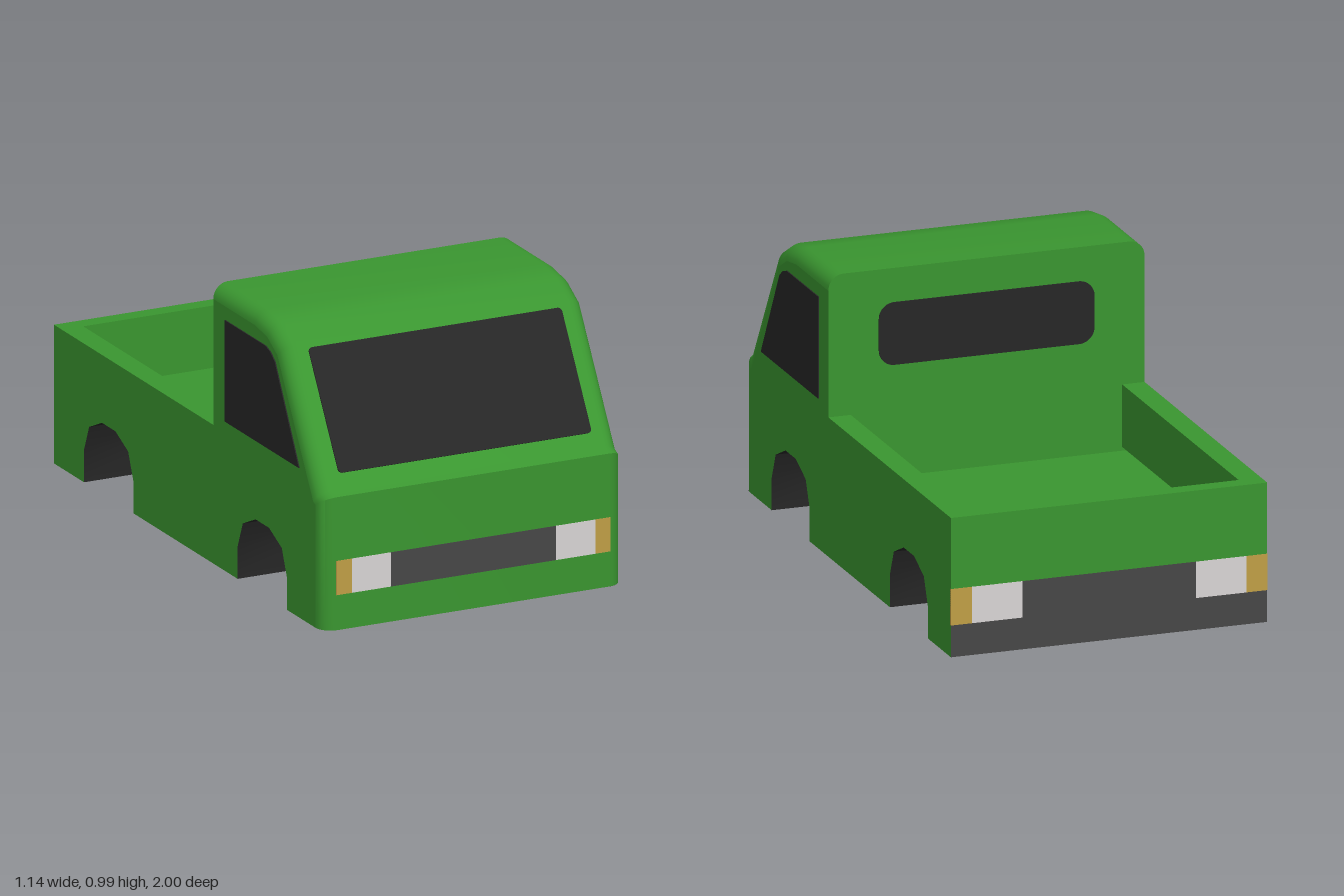
import * as THREE from 'three';
import { toCreasedNormals } from 'three/addons/utils/BufferGeometryUtils.js';

const HW = 0.565, R = 0.055, CAB_BACK = 0.185, RIM = 0.49, SEAM = 0.27, ARCH_IN = 0.315;

const mat = (name, color) => {
  const m = new THREE.MeshStandardMaterial({ color, side: THREE.DoubleSide });
  m.name = name;
  return m;
};

// Cab outline from the bottom of the nose to the back of the roof, as (z, y)
const OUTLINE = [[1, 0], [1, 0.47], [0.965, 0.485], [0.7, 0.92], [0.605, 0.973], [0.5, 0.99], [CAB_BACK, 0.99]]
  .map(([z, y]) => new THREE.Vector2(z, y));

// Outline moved inwards by d with mitred corners
function inset(d) {
  const normals = OUTLINE.slice(1).map((p, i) => {
    const e = p.clone().sub(OUTLINE[i]).normalize();
    return new THREE.Vector2(e.y, -e.x);
  });
  return OUTLINE.map((p, i) => {
    const a = normals[Math.max(i - 1, 0)], b = normals[Math.min(i, normals.length - 1)];
    return p.clone().addScaledVector(a.clone().add(b), -d / (1 + a.dot(b)));
  });
}

// Skin through rows of equally many points [x, y, z]
function loft(rows) {
  const n = rows[0].length, index = [];
  for (let i = 0; i < rows.length - 1; i++) {
    for (let j = 0; j < n - 1; j++) {
      const a = i * n + j, b = a + n;
      index.push(a, b, a + 1, b, b + 1, a + 1);
    }
  }
  const g = new THREE.BufferGeometry();
  g.setAttribute('position', new THREE.Float32BufferAttribute(rows.flat(2), 3));
  g.setIndex(index);
  return toCreasedNormals(g, 0.7);
}

// Wheel arch around z = c, from rear to front, as (z, y)
const archPoints = (c) => [[-0.183, 0], [-0.183, 0.115], [-0.145, 0.207], [-0.05, 0.25],
  [0.05, 0.25], [0.145, 0.207], [0.183, 0.115], [0.183, 0]].map(([z, y]) => [c + z, y]);
const ARCHES = [-0.593, 0.549].map(archPoints);

const polygon = (pts) => new THREE.Shape(pts.map(([x, y]) => new THREE.Vector2(x, y)));

function roundedRect(w, h, r) {
  const s = new THREE.Shape(), x = w / 2 - r, y = h / 2 - r;
  s.absarc(x, y, r, 0, Math.PI / 2);
  s.absarc(-x, y, r, Math.PI / 2, Math.PI);
  s.absarc(-x, -y, r, Math.PI, Math.PI * 1.5);
  s.absarc(x, -y, r, Math.PI * 1.5, Math.PI * 2);
  return s;
}

// Thin plate straddling its own plane
const plate = (shape) =>
  new THREE.ExtrudeGeometry(shape, { depth: 0.008, bevelEnabled: false, curveSegments: 6 }).translate(0, 0, -0.004);

export function createModel() {
  const model = new THREE.Group();
  model.name = 'pickupTruck';
  const green = mat('green paint', 0x3a9630);
  const dark = mat('dark glass and underside', 0x272727);
  const grey = mat('grey trim', 0x474747);
  const white = mat('white lamp', 0xd9d5d5);
  const amber = mat('amber lamp', 0xc09f46);

  const add = (name, geometry, material, x = 0, y = 0, z = 0) => {
    const m = new THREE.Mesh(geometry, material);
    m.name = name;
    m.position.set(x, y, z);
    model.add(m);
    return m;
  };

  // Nose, windscreen frame and roof with rounded side edges
  const rows = [], steps = 6;
  for (let i = -steps; i <= steps; i++) {
    const t = Math.abs(i) / steps * Math.PI / 2;
    const x = Math.sign(i) * (HW - R + R * Math.sin(t));
    const row = (px) => inset(R * (1 - Math.cos(t))).map((p) => [px, p.y, p.x]);
    if (i === 0) rows.push(row(R - HW), row(HW - R));
    else rows.push(row(x));
  }
  add('cabShell', loft(rows), green);

  // Cab back wall
  const back = new THREE.Shape();
  back.moveTo(-HW, 0.25);
  back.lineTo(HW, 0.25);
  back.absarc(HW - R, 0.99 - R, R, 0, Math.PI / 2);
  back.absarc(R - HW, 0.99 - R, R, Math.PI / 2, Math.PI);
  add('cabBackWall', new THREE.ShapeGeometry(back, 6).rotateY(Math.PI).translate(0, 0, CAB_BACK), green);

  // Sides, wheel arches and side windows
  const sideShape = polygon([[-1, 0], ...ARCHES.flat(), ...inset(R).map((p) => [p.x, p.y]),
    [CAB_BACK, SEAM], [-1, SEAM]]);
  const windowShape = polygon([[0.828, 0.53], [0.275, 0.53], [0.275, 0.888], [0.58, 0.888],
    [0.615, 0.877], [0.648, 0.853]]);
  for (const s of [-1, 1]) {
    const side = s < 0 ? 'right' : 'left';
    // shapes are drawn as (z, y) and turned to face sideways
    const turn = (g) => g.rotateY(-Math.PI / 2);
    const outward = (g) => (s < 0 ? turn(g) : turn(g.scale(1, 1, -1)));
    const skin = new THREE.ShapeGeometry(sideShape);
    if (s > 0) {
      const ix = skin.index.array;
      for (let k = 0; k < ix.length; k += 3) [ix[k], ix[k + 1]] = [ix[k + 1], ix[k]];
      skin.attributes.normal.array.forEach((v, k, a) => { a[k] = -v; });
    }
    add(side + 'Side', turn(skin), green, s * HW);
    add(side + 'Window', turn(plate(windowShape)), dark, s * HW);
    ARCHES.forEach((pts, k) => {
      const end = k ? 'Front' : 'Rear';
      const edge = (x) => pts.map(([z, y]) => [x, y, z]);
      const lo = Math.min(s * ARCH_IN, s * HW), hi = Math.max(s * ARCH_IN, s * HW);
      add(side + end + 'ArchLiner', loft([edge(hi), edge(lo)]), dark);
      add(side + end + 'ArchWall', turn(new THREE.ShapeGeometry(polygon(pts))), dark, s * ARCH_IN);
    });
  }

  // Underside with notches for the wheels, drawn as (x, z)
  const notches = ARCHES.map((p) => [p[0][0], p[7][0]]);
  const rightEdge = notches.flatMap(([a, b]) => [[HW, a], [ARCH_IN, a], [ARCH_IN, b], [HW, b]]);
  const under = polygon([[-HW, -1], [HW, -1], ...rightEdge]);
  under.absarc(HW - R, 1 - R, R, 0, Math.PI / 2);
  under.absarc(R - HW, 1 - R, R, Math.PI / 2, Math.PI);
  rightEdge.reverse().forEach(([x, z]) => under.lineTo(-x, z));
  add('underside', new THREE.ShapeGeometry(under, 6).rotateX(Math.PI / 2), dark);

  // Load bed: three walls and a floor
  const IN = 0.485, TAIL = -0.94;
  const walls = polygon([[-HW, -1], [HW, -1], [HW, CAB_BACK], [IN, CAB_BACK], [IN, TAIL],
    [-IN, TAIL], [-IN, CAB_BACK], [-HW, CAB_BACK]]);
  add('bedWalls', new THREE.ExtrudeGeometry(walls, { depth: RIM - SEAM, bevelEnabled: false })
    .rotateX(Math.PI / 2), green, 0, RIM);
  add('bedFloor', new THREE.PlaneGeometry(2 * HW - 0.01, CAB_BACK + 0.99).rotateX(-Math.PI / 2),
    green, 0, 0.257, (CAB_BACK - 0.99) / 2);
  add('tailgateLowerEdge', new THREE.PlaneGeometry(2 * HW, SEAM - 0.24).rotateY(Math.PI),
    green, 0, (SEAM + 0.24) / 2, -1);
  add('rearBumper', new THREE.PlaneGeometry(2 * HW, 0.24).rotateY(Math.PI), grey, 0, 0.12, -1);

  // Windscreen and rear window
  const screen = add('windscreen', plate(roundedRect(0.95, 0.439, 0.015)), dark, 0, 0.7175, 0.8234);
  screen.rotation.x = -Math.atan2(0.265, 0.435);
  add('rearWindow', plate(roundedRect(0.77, 0.22, 0.055)), dark, 0, 0.76, CAB_BACK);

  // Grille and lamps
  const panel = (name, x0, x1, y0, y1, z, material) =>
    add(name, new THREE.BoxGeometry(x1 - x0, y1 - y0, 0.008), material, (x0 + x1) / 2, (y0 + y1) / 2, z);
  panel('grille', -0.31, 0.31, 0.124, 0.245, 1 - 0.003, grey);
  for (const s of [-1, 1]) {
    const lamp = (name, a, b, y0, y1, z, material) =>
      panel(name, Math.min(s * a, s * b), Math.max(s * a, s * b), y0, y1, z, material);
    lamp('headlight', 0.31, 0.457, 0.124, 0.245, 0.997, white);
    lamp('frontIndicator', 0.457, 0.515, 0.124, 0.245, 0.997, amber);
    lamp('reverseLight', 0.31, 0.49, 0.112, 0.24, -0.997, white);
    lamp('rearIndicator', 0.49, HW, 0.112, 0.24, -0.997, amber);
  }
  return model;
}
